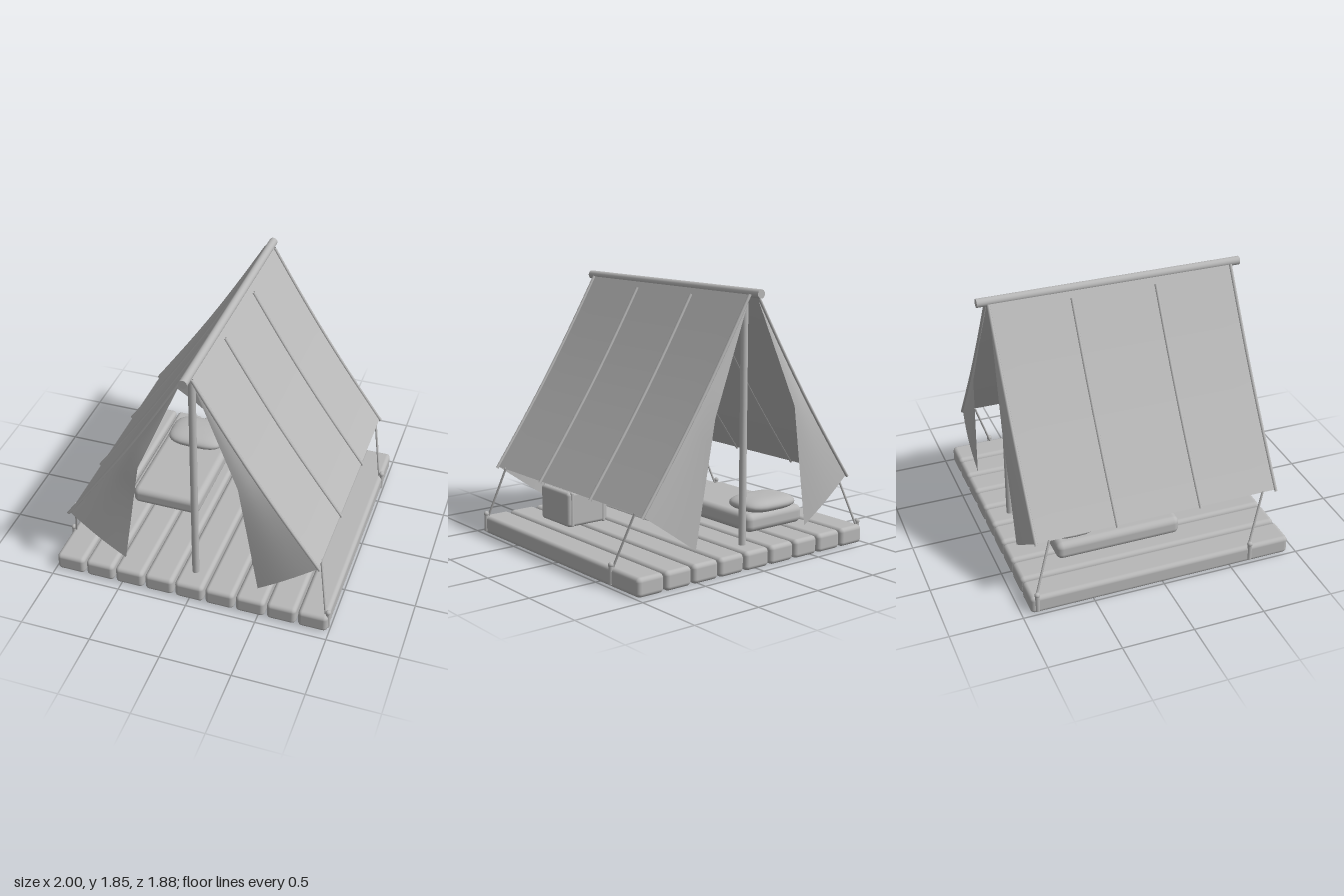
import * as THREE from 'three';
import { RoundedBoxGeometry } from 'three/addons/geometries/RoundedBoxGeometry.js';

const V = (x, y, z) => new THREE.Vector3(x, y, z);

export function createModel() {
  const model = new THREE.Group();
  model.name = 'tentOnRaft';
  const grey = new THREE.MeshStandardMaterial({ color: 0xb8b8b8 });
  grey.name = 'plain grey';
  const cloth = grey.clone();
  cloth.name = 'plain grey cloth';
  cloth.side = THREE.DoubleSide;

  const add = (name, geometry, material = grey, x = 0, y = 0, z = 0) => {
    const mesh = new THREE.Mesh(geometry, material);
    mesh.name = name;
    mesh.position.set(x, y, z);
    model.add(mesh);
    return mesh;
  };
  const box = (name, w, h, d, r, x, y, z) =>
    add(name, new RoundedBoxGeometry(w, h, d, 3, r), grey, x, y, z);
  // Round bar between two points
  const bar = (name, a, b, r, sides = 12) => {
    const mesh = add(name, new THREE.CylinderGeometry(r, r, a.distanceTo(b), sides));
    mesh.position.copy(a).add(b).multiplyScalar(0.5);
    mesh.quaternion.setFromUnitVectors(V(0, 1, 0), b.clone().sub(a).normalize());
    return mesh;
  };
  // Cloth surface from a rule point(u, v), with u and v from 0 to 1
  const sheet = (name, nu, nv, point) => {
    const g = new THREE.PlaneGeometry(1, 1, nu, nv);
    const p = g.attributes.position;
    for (let i = 0; i < p.count; i++) {
      const q = point(p.getX(i) + 0.5, 0.5 - p.getY(i));
      p.setXYZ(i, q.x, q.y, q.z);
    }
    g.computeVertexNormals();
    return add(name, g, cloth);
  };

  // Raft deck
  for (let i = -4; i <= 4; i++) {
    box('deckPlank', 0.207, 0.13, 1.88, 0.03, i * 0.221, 0.065, 0);
  }

  // Ridge pole and the two uprights
  bar('ridgePole', V(0, 1.82, -0.94), V(0, 1.82, 0.94), 0.03, 16);
  for (const z of [-0.78, 0.78]) bar('uprightPole', V(0, 0.12, z), V(0, 1.82, z), 0.025);

  // Slope of the roof, sagging slightly towards the inside
  const slope = (s, t, z, lift = 0) => {
    const sag = 0.022 * Math.sin(Math.PI * t) - lift;
    return V(s * (0.02 + 0.87 * t - 0.84 * sag), 1.825 - 1.335 * t - 0.54 * sag, z);
  };

  for (const s of [-1, 1]) {
    sheet('roofCanvas', 12, 10, (u, v) => slope(s, v, (u - 0.5) * 1.73));

    // Seams across the roof and along its ends
    for (const z of [-0.865, -0.3, 0.3, 0.865]) {
      const start = Math.abs(z) > 0.5 ? 0.01 : 0.04;
      const points = [];
      for (let i = 0; i <= 8; i++) points.push(slope(s, start + (1.008 - start) * i / 8, z, 0.003));
      add('roofSeam', new THREE.TubeGeometry(new THREE.CatmullRomCurve3(points), 16, 0.011, 8), cloth);
    }

    // Door flaps pulled aside, with a curling free edge
    for (const e of [-1, 1]) {
      sheet('doorFlap', 8, 10, (u, v) => {
        const outer = slope(s, v, e * 0.862);
        const low = Math.max(0, v * 2 - 1), high = Math.min(1, v * 2);
        const inner = V(
          s * (0.02 + 0.325 * high + 0.135 * low),
          1.825 - 0.775 * high - 0.85 * low,
          e * (0.862 + 0.04 * high - 0.025 * low));
        const q = outer.lerp(inner, u);
        q.z += e * 0.012 * Math.sin(Math.PI * u) * v;
        return q;
      });
    }

    // Guy ropes and pegs, turned half round from one side to the other
    for (const [pegZ, topZ] of [[0.895, 0.77], [-0.645, -0.77]]) {
      const x = s * 0.982, z = s * pegZ;
      bar('peg', V(x, 0.02, z), V(x, 0.15, z), 0.016);
      add('pegHead', new THREE.SphereGeometry(0.019, 12, 8), grey, x, 0.148, z);
      bar('guyRope', V(s * 0.885, 0.495, s * topZ), V(s * 0.965, 0.13, z), 0.008, 8);
    }
  }

  // Mattress and pillow
  box('mattress', 0.51, 0.13, 0.9, 0.045, -0.43, 0.203, -0.2);
  const pillow = new THREE.SphereGeometry(1, 24, 16);
  const p = pillow.attributes.position;
  const puff = (c, k) => Math.sign(c) * Math.abs(c) ** k;
  for (let i = 0; i < p.count; i++) {
    p.setXYZ(i, 0.225 * puff(p.getX(i), 0.6), 0.052 * p.getY(i), 0.17 * puff(p.getZ(i), 0.6));
  }
  pillow.computeVertexNormals();
  add('pillow', pillow, grey, -0.43, 0.302, -0.5);

  // Chest with two straps
  box('chest', 0.34, 0.25, 0.35, 0.025, 0.52, 0.252, 0.445);
  for (const x of [0.388, 0.652]) box('chestStrap', 0.026, 0.254, 0.362, 0.012, x, 0.253, 0.445);

  return model;
}
